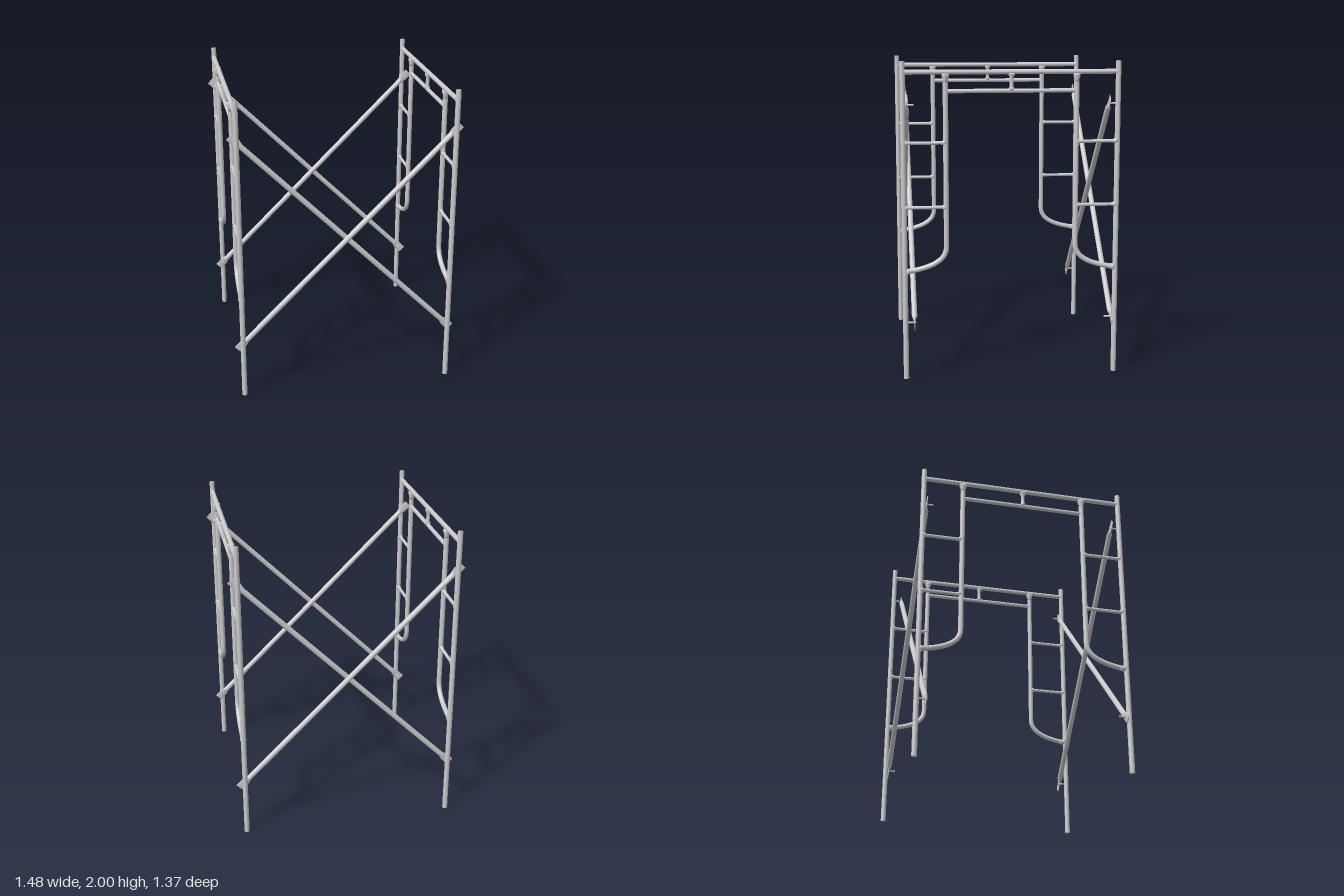
import * as THREE from 'three';

const mat = new THREE.MeshStandardMaterial({ color: 0xcccccc, side: THREE.DoubleSide });
const V = (x, y, z) => new THREE.Vector3(x, y, z);

const POST_X = 0.685, POST_Z = 0.67, LEG_Z = 0.408;

function add(parent, name, geometry) {
  const mesh = new THREE.Mesh(geometry, mat);
  mesh.name = name;
  parent.add(mesh);
  return mesh;
}

// Round bar from a to b; flare widens the ends into weld beads
function bar(parent, name, a, b, r, flareA = r, flareB = r, bead = 0.03) {
  const len = a.distanceTo(b), pts = [[0, 0], [flareA, 0]];
  if (flareA > r) pts.push([flareA, bead * 0.5], [r, bead]);
  if (flareB > r) pts.push([r, len - bead], [flareB, len - bead * 0.5]);
  pts.push([flareB, len], [0, len]);
  const profile = pts.map(([x, y]) => new THREE.Vector2(x, y));
  const mesh = add(parent, name, new THREE.LatheGeometry(profile, 16));
  mesh.position.copy(a);
  mesh.quaternion.setFromUnitVectors(V(0, 1, 0), b.clone().sub(a).normalize());
  return mesh;
}

// One end frame with two posts, rails and a pair of ladder sides
function makeFrame(name, x) {
  const frame = new THREE.Group();
  frame.name = name;
  frame.position.x = x;
  bar(frame, 'topRail', V(0, 1.933, -POST_Z), V(0, 1.933, POST_Z), 0.0155);
  bar(frame, 'lowerRail', V(0, 1.817, -LEG_Z), V(0, 1.817, LEG_Z), 0.0135);
  bar(frame, 'railHanger', V(0, 1.82, 0), V(0, 1.925, 0), 0.012, 0.018, 0.02, 0.025);

  for (const s of [1, -1]) {
    bar(frame, 'post', V(0, 0, s * POST_Z), V(0, 2, s * POST_Z), 0.017);

    // Inner leg sweeping outward to the post at its foot
    const path = new THREE.CurvePath();
    path.add(new THREE.LineCurve3(V(0, 1.925, s * LEG_Z), V(0, 0.85, s * LEG_Z)));
    path.add(new THREE.CubicBezierCurve3(
      V(0, 0.85, s * LEG_Z), V(0, 0.76, s * LEG_Z), V(0, 0.715, s * 0.5), V(0, 0.693, s * 0.66)));
    add(frame, 'innerLeg', new THREE.TubeGeometry(path, 90, 0.0165, 14));
    bar(frame, 'legTopWeld', V(0, 1.87, s * LEG_Z), V(0, 1.925, s * LEG_Z), 0.0165, 0.0165, 0.023, 0.035);
    bar(frame, 'legFootWeld', V(0, 0.698, s * 0.625), V(0, 0.692, s * 0.662), 0.0165, 0.0165, 0.021, 0.025);

    for (const y of [1.5, 1.098]) {
      bar(frame, 'rung', V(0, y, s * LEG_Z), V(0, y, s * POST_Z), 0.011, 0.017, 0.018, 0.03);
    }
  }
  return frame;
}

// Diagonal tube pressed flat at both ends, with a locking pin at each post
function makeBrace(name, z, slope) {
  const brace = new THREE.Group();
  brace.name = name;
  const stations = [-1.018, -0.96, -0.925, 0.925, 0.96, 1.018];
  const geo = new THREE.CylinderGeometry(1, 1, 5, 16, 5);
  const p = geo.attributes.position;
  for (let i = 0; i < p.count; i++) {
    const row = Math.round(p.getY(i) + 2.5);
    const round = row === 2 || row === 3;
    p.setXYZ(i, p.getX(i) * (round ? 0.0175 : 0.027), stations[row], p.getZ(i) * (round ? 0.0175 : 0.003));
  }
  geo.computeVertexNormals();
  const tube = add(brace, 'braceTube', geo);
  tube.position.set(0, 1.05, z);
  tube.rotation.z = -slope * Math.PI / 4;

  for (const s of [1, -1]) {
    const x = s * POST_X, y = 1.05 + s * slope * POST_X;
    const out = Math.sign(z);
    bar(brace, 'lockingPin', V(x, y, out * 0.603), V(x, y, out * POST_Z), 0.006);
  }
  return brace;
}

export function createModel() {
  const model = new THREE.Group();
  model.name = 'scaffoldFrame';
  model.add(makeFrame('leftFrame', POST_X), makeFrame('rightFrame', -POST_X));
  model.add(
    makeBrace('frontRisingBrace', 0.648, 1), makeBrace('frontFallingBrace', 0.613, -1),
    makeBrace('backRisingBrace', -0.613, 1), makeBrace('backFallingBrace', -0.648, -1));
  return model;
}
